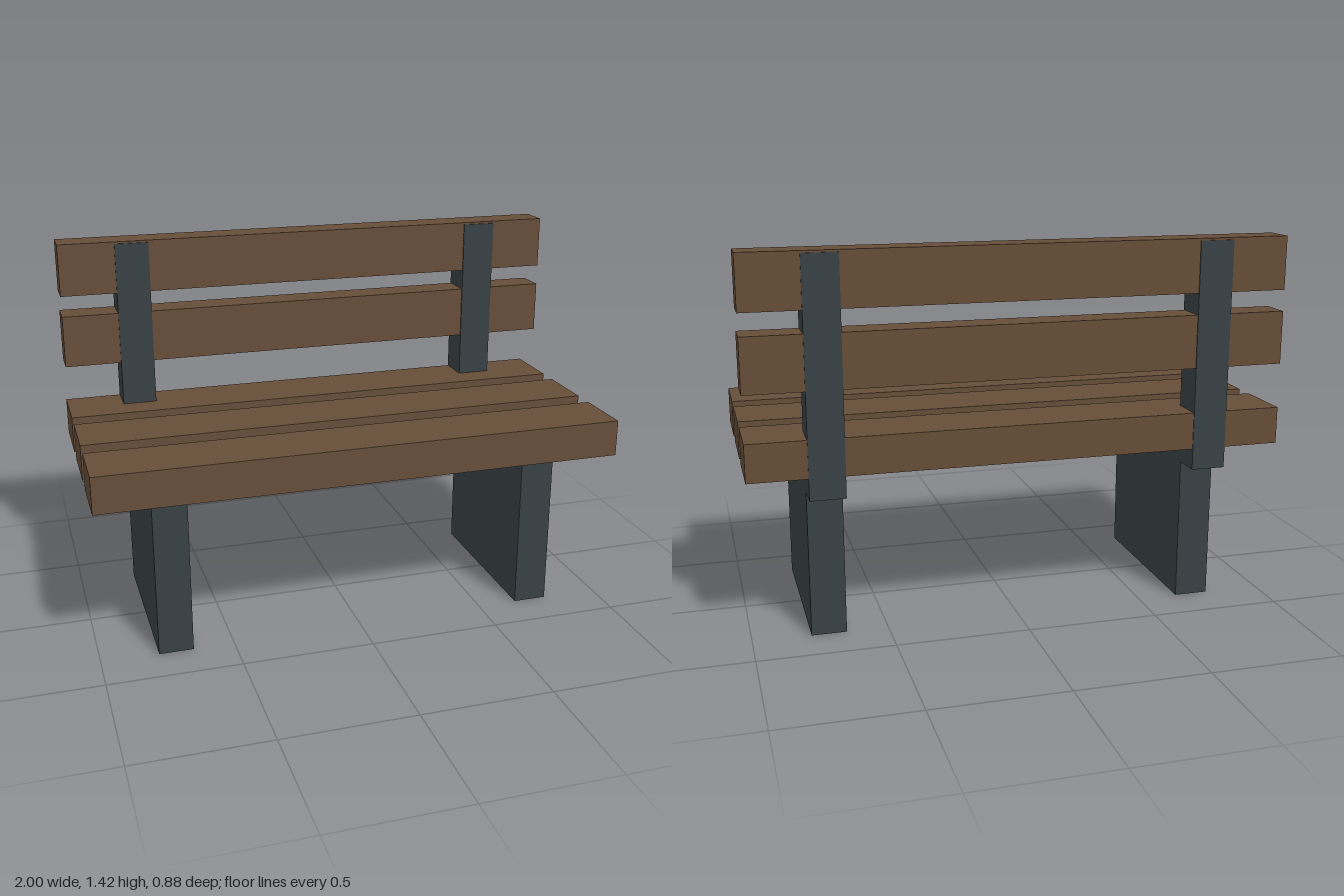
import * as THREE from 'three';

export function createModel() {
  const bench = new THREE.Group();
  bench.name = 'bench';
  const wood = new THREE.MeshStandardMaterial({ color: 0x664d38 });
  const metal = new THREE.MeshStandardMaterial({ color: 0x394144 });

  // Box given by its extents along each axis
  function addBox(name, material, [x0, x1], [y0, y1], [z0, z1]) {
    const mesh = new THREE.Mesh(new THREE.BoxGeometry(x1 - x0, y1 - y0, z1 - z0), material);
    mesh.position.set((x0 + x1) / 2, (y0 + y1) / 2, (z0 + z1) / 2);
    mesh.name = name;
    bench.add(mesh);
  }

  // Three seat planks, front to back
  for (const [i, z] of [0.322, 0, -0.319].entries()) {
    addBox(`seatPlank${i + 1}`, wood, [-1, 1], [0.63, 0.77], [z - 0.12, z + 0.12]);
  }

  // Two backrest planks
  for (const [i, y] of [1.04, 1.32].entries()) {
    addBox(`backPlank${i + 1}`, wood, [-1, 1], [y - 0.1, y + 0.1], [-0.438, -0.317]);
  }

  // Slab leg and backrest post on each side; posts stand slightly proud of the planks
  for (const [side, x] of [['left', 0.72], ['right', -0.72]]) {
    const width = [x - 0.065, x + 0.065];
    addBox(`${side}Leg`, metal, width, [0, 0.72], [-0.337, 0.342]);
    addBox(`${side}BackPost`, metal, width, [0.55, 1.412], [-0.442, -0.312]);
  }

  return bench;
}
